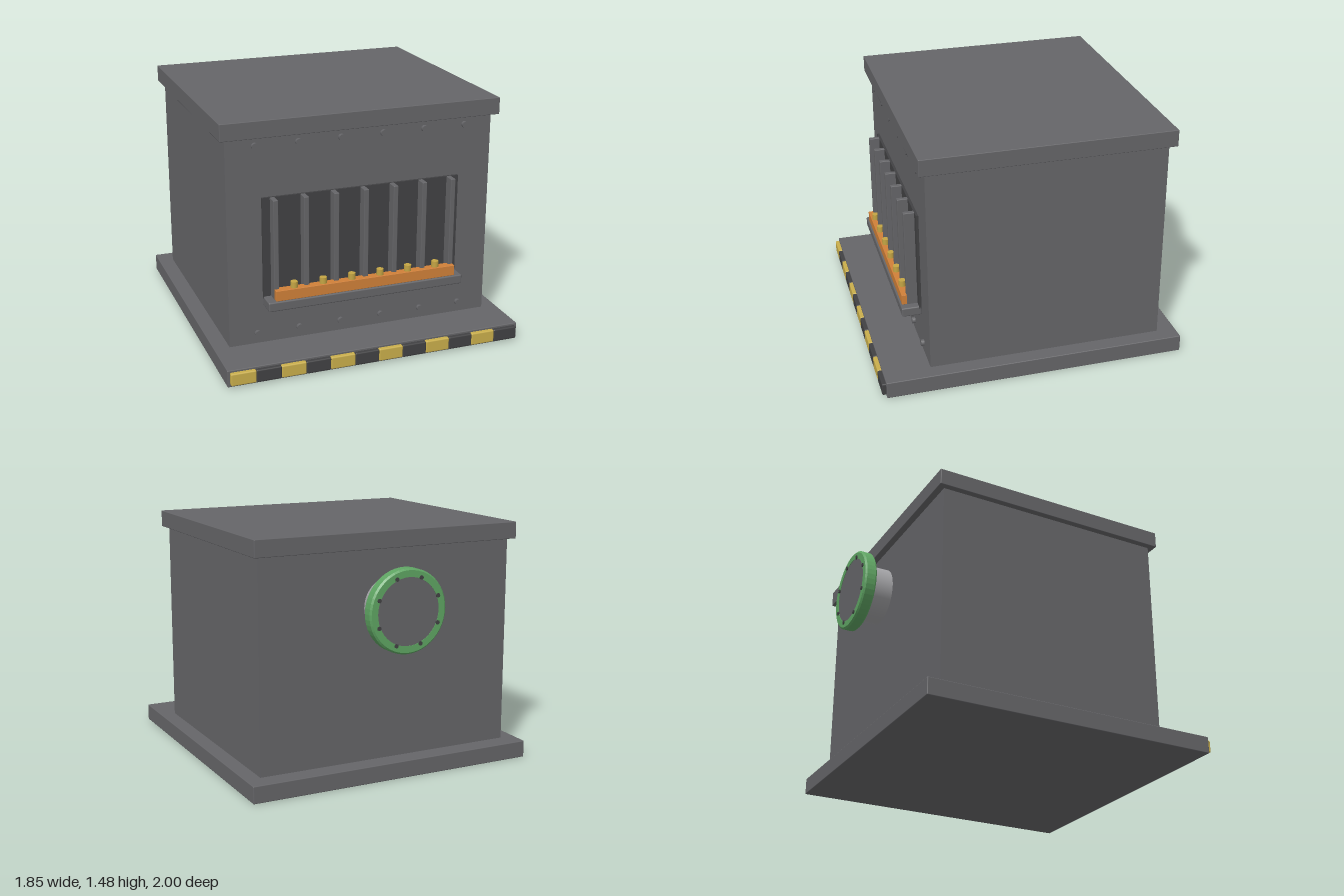
import * as THREE from 'three';
import { RoundedBoxGeometry } from 'three/addons/geometries/RoundedBoxGeometry.js';

const material = (name, color) => {
  const m = new THREE.MeshStandardMaterial({ color });
  m.name = name;
  return m;
};

export function createModel() {
  const model = new THREE.Group();
  model.name = 'furnaceUnit';

  const steel = material('steel grey', 0x656568);
  const dark = material('dark grey', 0x414143);
  const yellow = material('hazard yellow', 0xc9ae4b);
  const orange = material('copper orange', 0xd08038);
  const brass = material('brass', 0xc4a544);
  const green = material('flange green', 0x5fa563);
  const pipeGrey = material('pipe grey', 0xa2a2a5);

  const add = (name, geometry, mat, x = 0, y = 0, z = 0) => {
    const mesh = new THREE.Mesh(geometry, mat);
    mesh.name = name;
    mesh.position.set(x, y, z);
    model.add(mesh);
    return mesh;
  };

  // Box given by its lower and upper limits on each axis
  const box = (name, mat, [x0, x1], [y0, y1], [z0, z1], radius = 0) => {
    const size = [x1 - x0, y1 - y0, z1 - z0];
    const geometry = radius
      ? new RoundedBoxGeometry(...size, 2, radius)
      : new THREE.BoxGeometry(...size);
    return add(name, geometry, mat, (x0 + x1) / 2, (y0 + y1) / 2, (z0 + z1) / 2);
  };

  // Cylinder lying along z between z0 and z1
  const rod = (name, mat, radius, x, y, z0, z1, sides = 16) => {
    const geometry = new THREE.CylinderGeometry(radius, radius, z1 - z0, sides).rotateX(Math.PI / 2);
    return add(name, geometry, mat, x, y, (z0 + z1) / 2);
  };

  // Housing
  box('base', steel, [-0.925, 0.925], [0, 0.105], [-0.88, 0.975], 0.005);
  box('body', steel, [-0.83, 0.83], [0.1, 1.385], [-0.76, 0.69]);
  box('lid', steel, [-0.867, 0.867], [1.38, 1.483], [-0.8, 0.73], 0.004);

  // Warning blocks along the front edge of the base
  const step = 1.82 / 12;
  for (let i = 0; i < 12; i++) {
    const x = -0.91 + i * step;
    box('warningBlock', i % 2 ? dark : yellow, [x, x + step], [0.015, 0.092], [0.965, 1], 0.008);
  }

  // Rivets above and below the grille
  for (const y of [0.17, 1.328])
    for (let i = 0; i < 6; i++) rod('rivet', steel, 0.02, -0.655 + i * 0.262, y, 0.68, 0.71);

  // Grille: dark backing, upright bars and a ledge
  box('grilleBacking', dark, [-0.62, 0.62], [0.39, 1.017], [0.68, 0.705]);
  for (let i = 0; i < 7; i++) {
    const x = (i - 3) * 0.186;
    box('grilleBar', steel, [x - 0.015, x + 0.015], [0.4, 1.017], [0.7, 0.77], 0.004);
  }
  box('ledge', steel, [-0.62, 0.62], [0.347, 0.405], [0.69, 0.81], 0.008);

  // Copper busbar with brass studs
  box('busbar', orange, [-0.572, 0.572], [0.405, 0.47], [0.745, 0.8], 0.003);
  for (let i = 0; i < 6; i++)
    add('stud', new THREE.CylinderGeometry(0.022, 0.022, 0.045, 12), brass, -0.453 + i * 0.181, 0.485, 0.772);

  // Rear pipe with its short neck
  const pipeY = 1.04;
  rod('pipeNeck', steel, 0.045, 0, pipeY, -0.79, -0.755, 24);
  rod('pipe', pipeGrey, 0.175, 0, pipeY, -0.93, -0.785, 48);

  // Flange ring, turned from a closed profile of radius and depth
  const profile = [
    [0.17, 0], [0.24, 0], [0.25, 0.01], [0.25, 0.065], [0.24, 0.075], [0.2, 0.075], [0.2, 0.06], [0.17, 0.06], [0.17, 0],
  ].map(([r, d]) => new THREE.Vector2(r, d));
  const flange = new THREE.LatheGeometry(profile, 48).toNonIndexed();
  flange.computeVertexNormals();
  add('flange', flange.rotateX(-Math.PI / 2), green, 0, pipeY, -0.92);
  rod('flangeCover', steel, 0.2, 0, pipeY, -0.992, -0.975, 48);

  // Bolts through the flange
  for (let i = 0; i < 8; i++) {
    const a = ((i + 0.5) * Math.PI) / 4;
    rod('flangeBolt', dark, 0.013, 0.208 * Math.cos(a), pipeY + 0.208 * Math.sin(a), -1, -0.915, 8);
  }

  return model;
}
